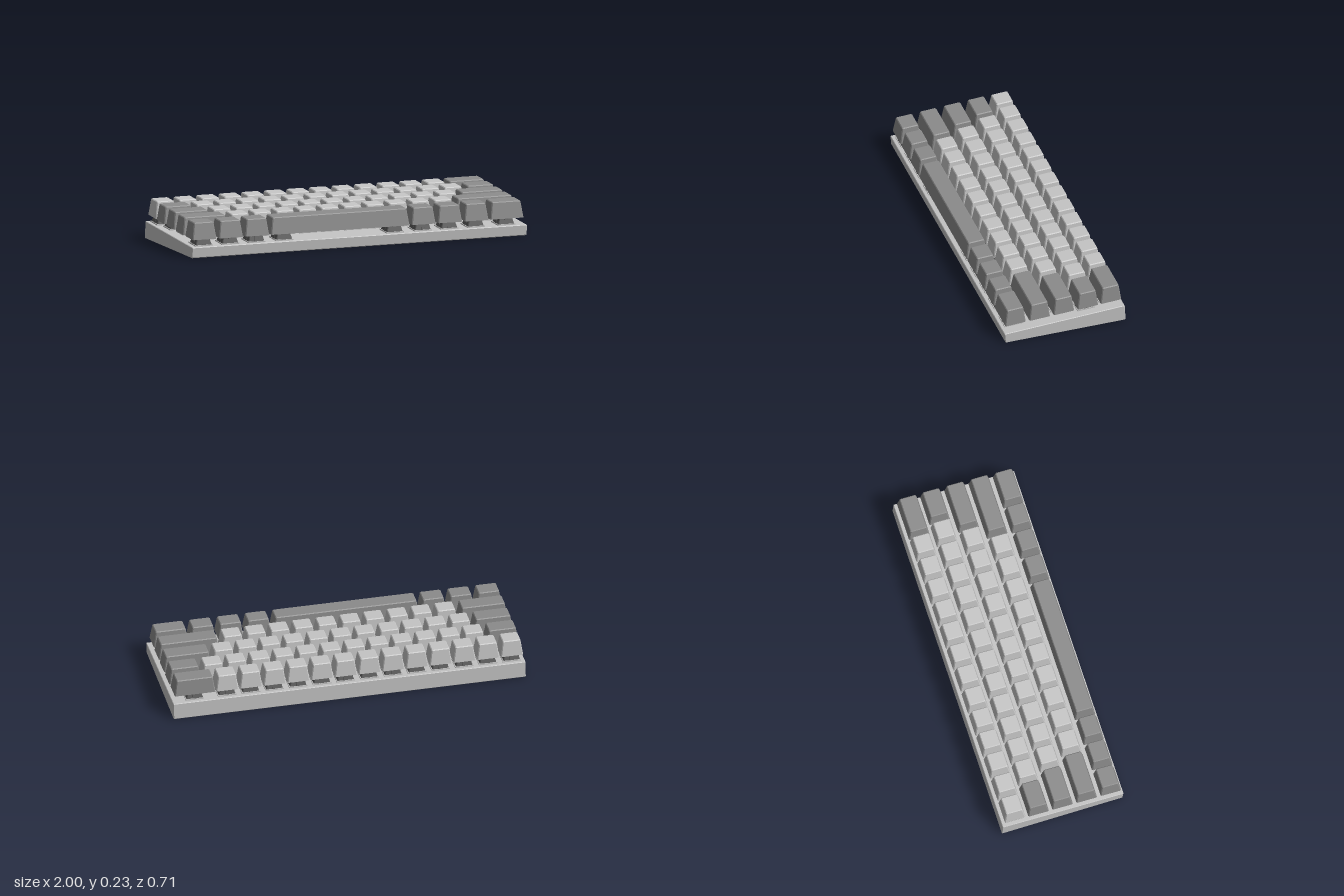
import * as THREE from 'three';

const mat = (name, color) => {
  const m = new THREE.MeshStandardMaterial({ color });
  m.name = name;
  return m;
};

// Flat-faced loft through chamfered rectangles: [y, halfWidth, halfDepth, chamfer, zShift]
function loft(sections) {
  const rings = sections.map(([y, a, b, c, s = 0]) => [
    [a, b - c], [a, c - b], [a - c, -b], [c - a, -b],
    [-a, c - b], [-a, b - c], [c - a, b], [a - c, b],
  ].map(([x, z]) => [x, y, z + s]));
  const pos = [];
  const tri = (p, q, r) => pos.push(...p, ...q, ...r);
  for (let k = 0; k < rings.length - 1; k++) {
    const lo = rings[k], hi = rings[k + 1];
    for (let i = 0; i < 8; i++) {
      const j = (i + 1) % 8;
      tri(lo[i], lo[j], hi[j]);
      tri(lo[i], hi[j], hi[i]);
    }
  }
  const bottom = rings[0], top = rings[rings.length - 1];
  for (let i = 1; i < 7; i++) {
    tri(top[0], top[i], top[i + 1]);
    tri(bottom[0], bottom[i + 1], bottom[i]);
  }
  const g = new THREE.BufferGeometry();
  g.setAttribute('position', new THREE.Float32BufferAttribute(pos, 3));
  g.computeVertexNormals();
  return g;
}

function capGeometry(w, d) {
  const a = w / 2, b = d / 2;
  return loft([
    [0, a, b, 0.005],
    [0.089, a - 0.0125, b - 0.0125, 0.005, -0.006],
    [0.0935, a - 0.017, b - 0.017, 0.004, -0.006],
  ]);
}

// Wedge-shaped case, extruded across x from its side profile (z, y)
function caseGeometry() {
  const profile = [
    [0.346, 0], [0.35, 0.004], [0.355, 0.057], [0.352, 0.0605],
    [-0.345, 0.097], [-0.348, 0.094], [-0.353, 0.004], [-0.349, 0],
  ].map(([z, y]) => new THREE.Vector2(z, y));
  const g = new THREE.ExtrudeGeometry(new THREE.Shape(profile), {
    depth: 1.994, bevelEnabled: true, bevelThickness: 0.003,
    bevelSize: 0.003, bevelOffset: -0.003, bevelSegments: 1,
  });
  g.translate(0, 0, -0.997);
  g.rotateY(-Math.PI / 2);
  return g;
}

export function createModel() {
  const model = new THREE.Group();
  model.name = 'keyboard';
  const caseMat = mat('case grey', 0xc4c4c4);
  const lightMat = mat('light key grey', 0xc6c6c6);
  const darkMat = mat('dark key grey', 0x8c8c8c);
  const stemMat = mat('switch grey', 0x5c5c5c);

  const add = (parent, name, geometry, material, x = 0, y = 0, z = 0) => {
    const m = new THREE.Mesh(geometry, material);
    m.name = name;
    m.position.set(x, y, z);
    parent.add(m);
    return m;
  };

  add(model, 'case', caseGeometry(), caseMat);

  // Everything above the case follows its sloping top
  const deck = new THREE.Group();
  deck.name = 'keys';
  deck.position.y = 0.0786;
  deck.rotation.x = 0.0528;
  model.add(deck);

  const U = 0.1347, KEY_W = 0.126, KEY_D = 0.12;
  const flangeGeo = new THREE.BoxGeometry(0.104, 0.01, 0.104);
  const stemGeo = loft([[0.004, 0.048, 0.048, 0.004], [0.042, 0.037, 0.037, 0.004]]);
  const bossGeo = loft([[0.004, 0.05, 0.012, 0.001], [0.042, 0.039, 0.01, 0.001]]);
  const bossCross = bossGeo.clone().rotateY(Math.PI / 2);
  const caps = new Map();

  const addSwitch = (x, z) => {
    const s = new THREE.Group();
    s.name = 'switch';
    s.position.set(x, 0, z);
    add(s, 'switchFlange', flangeGeo, caseMat, 0, 0.002, 0);
    add(s, 'switchHousing', stemGeo, stemMat);
    add(s, 'switchRibAcross', bossGeo, stemMat);
    add(s, 'switchRibAlong', bossCross, stemMat);
    deck.add(s);
  };

  const addKey = (x, z, w, material, name, switches = [0]) => {
    if (!caps.has(w)) caps.set(w, capGeometry(w, KEY_D));
    add(deck, name, caps.get(w), material, x, 0.04, z);
    switches.forEach((dx) => addSwitch(x + dx, z));
  };

  // Rows from back to front: light keys, then wide dark keys as [x, width]
  const rows = [
    { z: -0.2745, first: -0.927, count: 13, dark: [[0.873, 0.23]] },
    { z: -0.139, first: -0.744, count: 12, dark: [[-0.905, 0.178], [0.9, 0.178]] },
    { z: 0.001, first: -0.699, count: 11, dark: [[-0.883, 0.22], [0.854, 0.268]] },
    { z: 0.142, first: -0.648, count: 10, dark: [[-0.859, 0.268], [0.814, 0.345]] },
    {
      z: 0.283, first: 0, count: 0,
      dark: [[-0.921, 0.142], [-0.763, 0.142], [-0.606, 0.142],
        [0.388, 0.142], [0.546, 0.142], [0.704, 0.142], [0.886, 0.196]],
    },
  ];
  for (const { z, first, count, dark } of rows) {
    for (let i = 0; i < count; i++) addKey(first + i * U, z, KEY_W, lightMat, 'lightKey');
    for (const [x, w] of dark) addKey(x, z, w, darkMat, 'darkKey');
  }

  // Long bar on a switch near each end
  addKey(-0.11, 0.283, 0.826, darkMat, 'spaceBar', [-0.33, 0.33]);

  return model;
}
